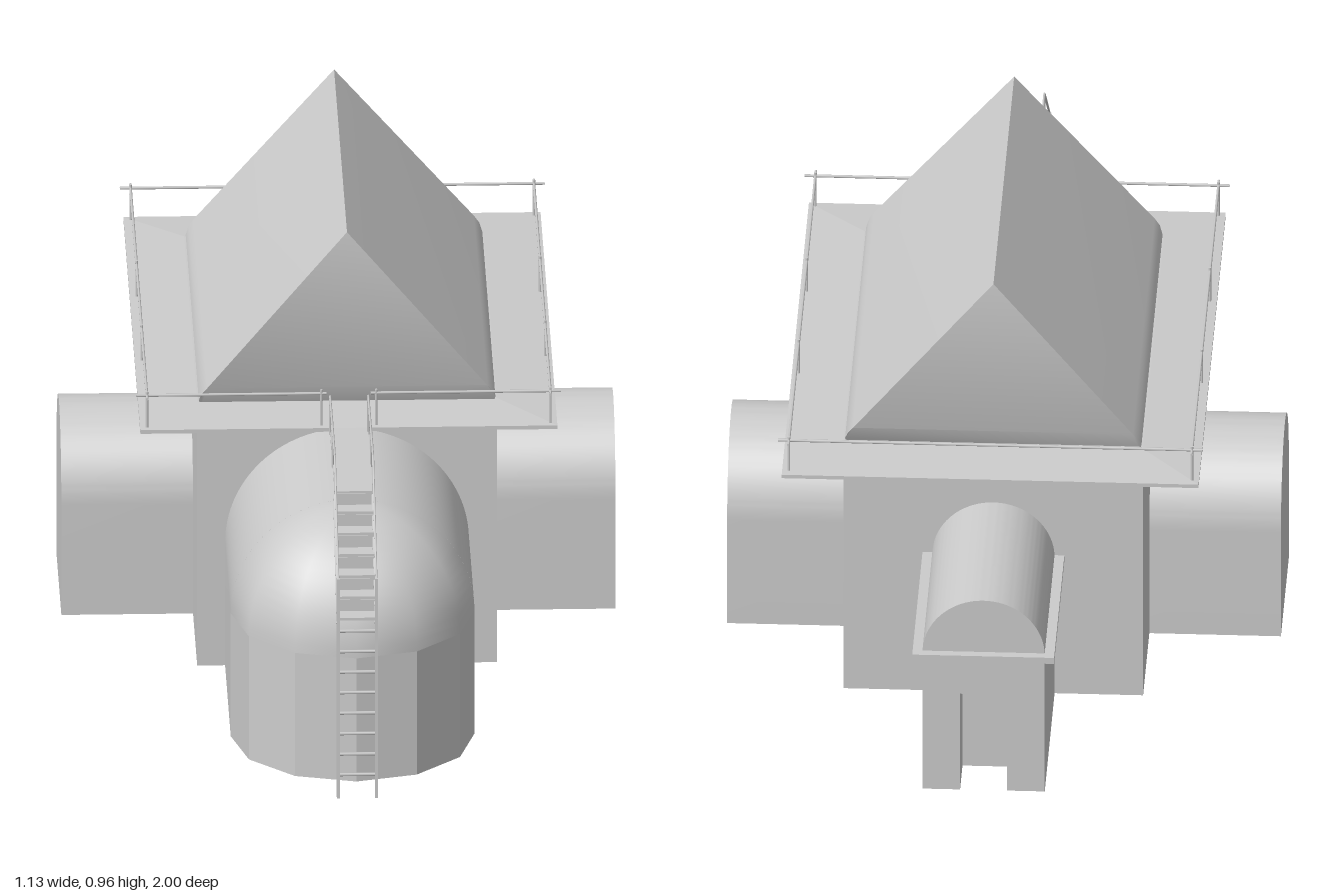
import * as THREE from 'three';
import { toCreasedNormals } from 'three/addons/utils/BufferGeometryUtils.js';

const CX = 0.009;      // middle line of the building
const BASE = 0.006;    // floor level
const BACK = -0.571, FRONT = 0.297;

export function createModel() {
  const model = new THREE.Group();
  const mat = new THREE.MeshStandardMaterial({ color: 0xcccccc });
  const flatMat = new THREE.MeshStandardMaterial({ color: 0xcccccc, flatShading: true });

  function add(name, geo, parent = model, material = mat) {
    const mesh = new THREE.Mesh(geo, material);
    mesh.name = name;
    parent.add(mesh);
    return mesh;
  }
  function group(name) {
    const g = new THREE.Group();
    g.name = name;
    model.add(g);
    return g;
  }
  // Box given by its limits
  function block(name, x0, x1, y0, y1, z0, z1, parent) {
    const geo = new THREE.BoxGeometry(x1 - x0, y1 - y0, z1 - z0);
    geo.translate((x0 + x1) / 2, (y0 + y1) / 2, (z0 + z1) / 2);
    return add(name, geo, parent);
  }
  // Thin round bar between two points
  function bar(name, a, b, parent, r = 0.003) {
    const p = new THREE.Vector3(...a), q = new THREE.Vector3(...b);
    const mesh = add(name, new THREE.CylinderGeometry(r, r, p.distanceTo(q), 6), parent);
    mesh.position.copy(p).add(q).multiplyScalar(0.5);
    mesh.quaternion.setFromUnitVectors(new THREE.Vector3(0, 1, 0), q.sub(p).normalize());
  }
  // Round-topped wall block, extruded along +z from z = 0
  function vault(r, y0, spring, depth) {
    const s = new THREE.Shape();
    s.moveTo(-r, y0);
    s.lineTo(r, y0);
    s.lineTo(r, spring);
    s.absarc(0, spring, r, 0, Math.PI, false);
    s.closePath();
    return toCreasedNormals(new THREE.ExtrudeGeometry(s, { depth, bevelEnabled: false, curveSegments: 32 }), 0.5);
  }

  // Main hall
  block('hall', CX - 0.306, CX + 0.306, BASE, 0.578, BACK, FRONT);

  // Front apse: vault, faceted round wall and half dome
  const R = 0.249, SPRING = 0.278, APSE_Z = 0.676;
  const apse = group('apse');
  add('apseVault', vault(R, BASE, SPRING, APSE_Z - FRONT), apse).position.set(CX, 0, FRONT);
  const wall = [[0, BASE], [R, BASE], [R, SPRING]].map(p => new THREE.Vector2(...p));
  add('apseWall', new THREE.LatheGeometry(wall, 6, -Math.PI / 2, Math.PI), apse, flatMat).position.set(CX, 0, APSE_Z);
  const dome = [];
  for (let i = 0; i <= 20; i++) {
    const a = i / 20 * Math.PI / 2;
    dome.push(new THREE.Vector2(R * Math.cos(a), SPRING + R * Math.sin(a)));
  }
  add('apseDome', new THREE.LatheGeometry(dome, 6, -Math.PI / 2, Math.PI), apse).position.set(CX, 0, APSE_Z);

  // Side wings
  for (const [name, side] of [['leftWing', 1], ['rightWing', -1]]) {
    const wing = add(name, vault(0.165, BASE, 0.248, 0.3));
    wing.rotation.y = side * Math.PI / 2;
    wing.position.set(side * 0.266, 0, -0.146);
  }

  // Back porch with a recessed doorway, cornice and vaulted roof
  const porch = group('porch');
  const PW = 0.125, PZ = -0.982, DOOR = 0.048, RECESS = 0.1;
  const face = new THREE.Shape([
    [-PW, BASE], [-DOOR, BASE], [-DOOR, 0.23], [DOOR, 0.23], [DOOR, BASE], [PW, BASE], [PW, 0.32], [-PW, 0.32],
  ].map(p => new THREE.Vector2(...p)));
  add('doorway', new THREE.ExtrudeGeometry(face, { depth: RECESS, bevelEnabled: false }), porch).position.set(CX, 0, PZ);
  block('porchRoom', CX - PW, CX + PW, BASE, 0.32, PZ + RECESS, BACK, porch);
  block('cornice', CX - 0.145, CX + 0.145, 0.315, 0.329, -1, BACK, porch);
  add('porchVault', vault(PW, 0.32, 0.324, BACK - PZ), porch).position.set(CX, 0, PZ);

  // Gable roof: ends lean out towards the eaves and tuck in at the bottom
  const gable = new THREE.Shape([
    [-0.298, 0.58], [0.298, 0.58], [0.303, 0.595], [0.297, 0.612], [0.286, 0.626],
    [0, 0.96], [-0.286, 0.626], [-0.297, 0.612], [-0.303, 0.595],
  ].map(p => new THREE.Vector2(...p)));
  const roofGeo = new THREE.ExtrudeGeometry(gable, { depth: FRONT - BACK, bevelEnabled: false });
  const pos = roofGeo.attributes.position;
  for (let i = 0; i < pos.count; i++) {
    const y = pos.getY(i), z = pos.getZ(i);
    const out = y > 0.62 ? 0.018 * (0.96 - y) / 0.334 : 0.018 * (y - 0.58) / 0.04;
    pos.setZ(i, z + (z > 0.1 ? out : -out));
  }
  add('roof', toCreasedNormals(roofGeo, 0.6)).position.set(CX, 0, BACK);

  // Gallery around the roof: thin edge, sloping above and below towards the hall
  const gallery = group('gallery');
  const GX = 0.426, GZ0 = -0.712, GZ1 = 0.426, GZ = (GZ0 + GZ1) / 2;
  function slope(name, y0, y1, narrowTop) {
    const geo = new THREE.BoxGeometry(GX * 2, y1 - y0, GZ1 - GZ0);
    const p = geo.attributes.position;
    for (let i = 0; i < p.count; i++) {
      if ((p.getY(i) > 0) === narrowTop) {
        p.setX(i, Math.sign(p.getX(i)) * 0.306);
        p.setZ(i, Math.sign(p.getZ(i)) * 0.44);
      }
    }
    geo.computeVertexNormals();
    add(name, geo, gallery).position.set(CX, (y0 + y1) / 2, GZ);
  }
  block('galleryEdge', CX - GX, CX + GX, 0.573, 0.581, GZ0, GZ1, gallery);
  slope('galleryTop', 0.581, 0.59, true);
  slope('galleryUnderside', 0.564, 0.573, false);

  // Gallery railing, open at the front where the walkway starts
  const railing = group('railing');
  const RX = 0.412, RZ0 = -0.694, RZ1 = 0.412, RAIL = 0.652;
  bar('backRail', [CX - RX - 0.022, RAIL, RZ0], [CX + RX + 0.022, RAIL, RZ0], railing);
  for (const s of [-1, 1]) {
    const x = CX + s * RX, gap = CX + s * 0.056;
    bar('sideRail', [x, RAIL, RZ0 - 0.02], [x, RAIL, RZ1 + 0.02], railing);
    bar('frontRail', [CX + s * (RX + 0.022), RAIL, RZ1], [CX + s * 0.045, RAIL, RZ1], railing);
    for (const z of [RZ0, -0.287, 0.055, RZ1]) bar('railPost', [x, 0.578, z], [x, 0.66, z], railing);
    bar('railPost', [gap, 0.578, RZ1], [gap, 0.66, RZ1], railing);
  }

  // Walkway over the apse, stairs and ladder
  const access = group('access');
  const W = 0.039, TOP_Z = 0.764, END_Z = 0.993, STAIR_Y = 0.39;
  block('walkway', CX - W, CX + W, 0.573, 0.581, GZ1 - 0.02, TOP_Z, access);
  for (const s of [-1, 1]) {
    const x = CX + s * W;
    bar('walkwayRail', [x, 0.66, 0.447], [x, 0.66, TOP_Z], access, 0.0025);
    for (const z of [0.447, 0.62, TOP_Z]) bar('walkwayPost', [x, 0.575, z], [x, 0.66, z], access, 0.0025);
    bar('stairRail', [x, 0.66, TOP_Z], [x, 0.482, END_Z], access, 0.0025);
    bar('stringer', [x, 0.573, TOP_Z], [x, STAIR_Y - 0.006, END_Z], access, 0.004);
    block('ladderUpright', x - 0.003, x + 0.003, 0, 0.484, 0.986, 1, access);
  }
  const STEPS = 6, run = (END_Z - TOP_Z) / STEPS, rise = (0.577 - STAIR_Y) / STEPS;
  for (let i = 0; i < STEPS; i++) {
    const z = TOP_Z + i * run, y = 0.577 - (i + 1) * rise;
    block('tread', CX - W, CX + W, y, y + 0.006, z, z + run, access);
    block('riser', CX - W, CX + W, y, y + rise, z - 0.002, z + 0.002, access);
  }
  for (let i = 0; i < 8; i++) {
    const y = 0.05 + i * 0.0453;
    bar('rung', [CX - W, y, END_Z], [CX + W, y, END_Z], access, 0.0035);
  }

  return model;
}
